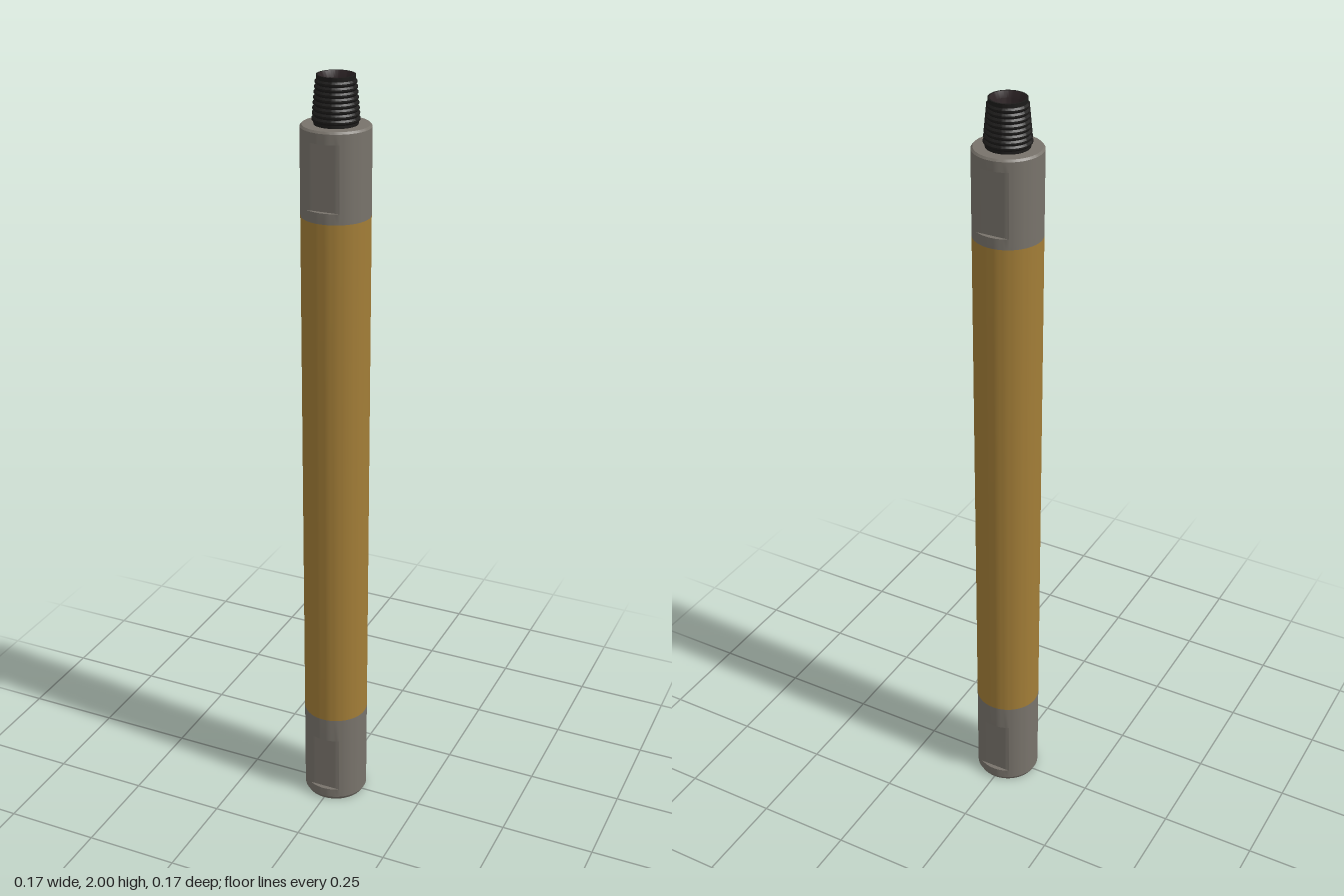
import * as THREE from 'three';
import { toCreasedNormals } from 'three/addons/utils/BufferGeometryUtils.js';

const R = 0.0855;                            // outer radius
const FLAT = R * Math.cos(Math.PI / 6);      // depth of the wrench flats
const BORE = 0.036;
const SEGMENTS = 72;

const steel = new THREE.MeshStandardMaterial({ color: 0x78736b });
steel.name = 'grey steel';
const gold = new THREE.MeshStandardMaterial({ color: 0xa27d37 });
gold.name = 'gold casing';
const black = new THREE.MeshStandardMaterial({ color: 0x1c1b1a });
black.name = 'black thread';
const dark = new THREE.MeshStandardMaterial({ color: 0x2e2527 });
dark.name = 'dark bore';

// Turned part from [radius, y] points; rows listed in flatRows are milled flat at front and back
function turned(name, profile, material, flatRows = []) {
  const geometry = new THREE.LatheGeometry(profile.map(([r, y]) => new THREE.Vector2(r, y)), SEGMENTS);
  const position = geometry.attributes.position;
  for (let i = 0; i < position.count; i++) {
    if (flatRows.includes(i % profile.length)) {
      position.setZ(i, THREE.MathUtils.clamp(position.getZ(i), -FLAT, FLAT));
    }
  }
  const mesh = new THREE.Mesh(toCreasedNormals(geometry, 0.5), material);
  mesh.name = name;
  return mesh;
}

// Rows of a saw-tooth thread between two radii
function threadRows(r0, y0, r1, y1, count, depth) {
  const rows = [];
  const pitch = (y1 - y0) / count;
  for (let i = 0; i < count; i++) {
    const r = THREE.MathUtils.lerp(r0, r1, (i + 0.5) / count);
    const y = y0 + i * pitch;
    rows.push([r - depth, y], [r, y + pitch * 0.35], [r, y + pitch * 0.65], [r - depth, y + pitch]);
  }
  return rows;
}

export function createModel() {
  const group = new THREE.Group();
  group.name = 'drillTool';

  // Lower collar with a pair of wrench flats
  group.add(turned('lowerCollar', [
    [0.066, 0], [0.08, 0], [R, 0.01], [R, 0.035], [R, 0.035], [R, 0.198], [R, 0.198], [R, 0.265],
  ], steel, [4, 5]));

  // Main casing
  group.add(turned('casing', [[R, 0.265], [R, 1.665]], gold));

  // Upper collar with a pair of wrench flats
  group.add(turned('upperCollar', [
    [R, 1.665], [R, 1.692], [R, 1.692], [R, 1.855], [R, 1.855], [R, 1.88], [0.081, 1.885], [0.05, 1.885],
  ], steel, [2, 3]));

  // Tapered threaded pin
  group.add(turned('threadedPin', [
    [0.053, 1.884], [0.053, 1.892],
    ...threadRows(0.058, 1.892, 0.049, 1.99, 8, 0.004),
    [0.046, 2], [0.042, 2],
  ], black));

  // Through bore, seen from inside
  group.add(turned('bore', [[0.042, 2], [BORE, 1.985], [BORE, 0.14]], dark));

  // Tapered threaded socket at the foot
  group.add(turned('threadedSocket', [
    [BORE, 0.14], [0.048, 0.135],
    ...threadRows(0.063, 0.012, 0.052, 0.13, 8, 0.004).reverse(),
    [0.064, 0.008], [0.066, 0],
  ], black));

  return group;
}
